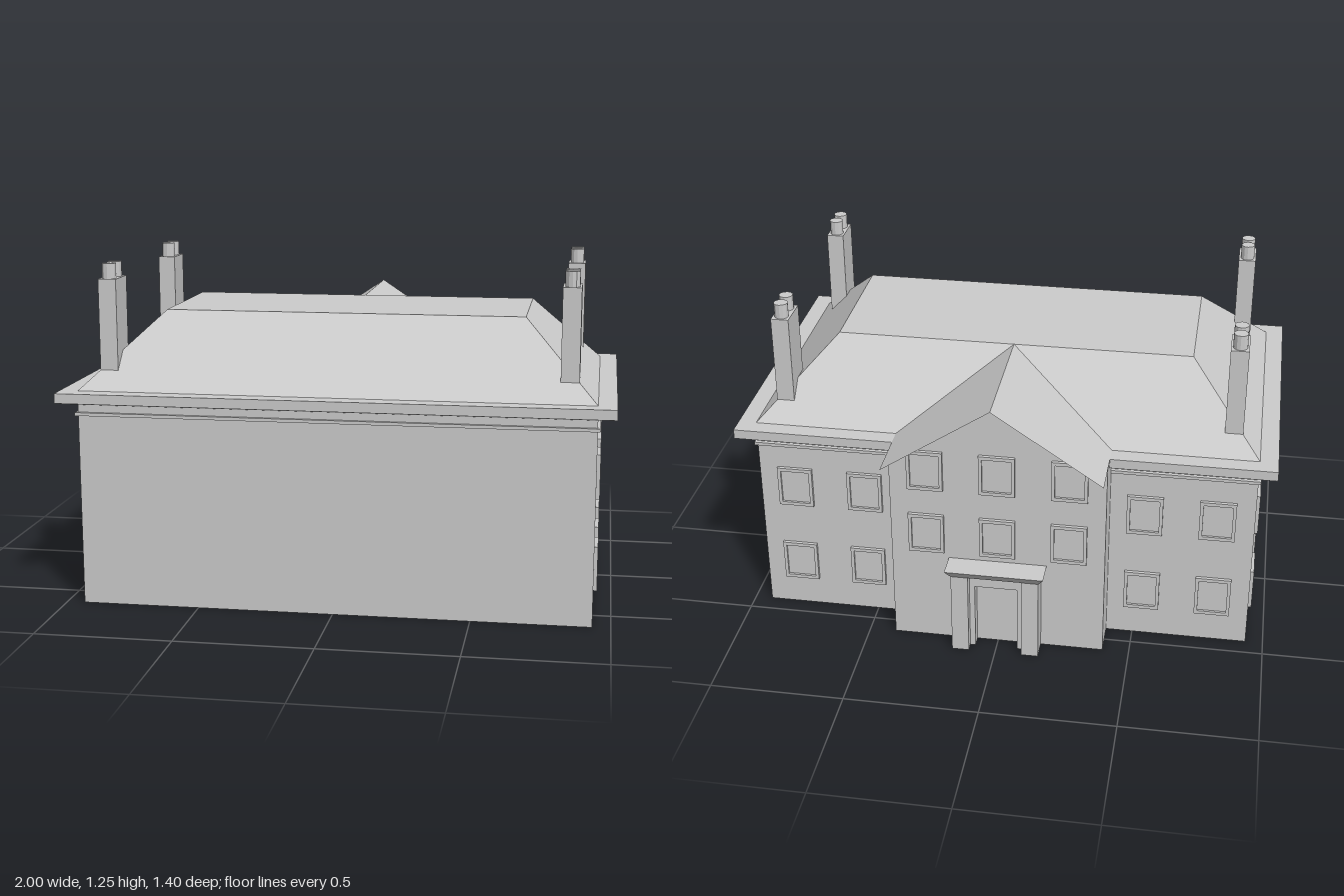
import * as THREE from 'three';

const material = new THREE.MeshStandardMaterial({ color: 0xcccccc, flatShading: true });
const thinMaterial = new THREE.MeshStandardMaterial({ color: 0xcccccc, flatShading: true, side: THREE.DoubleSide });

function add(parent, name, geometry, mat = material) {
  const mesh = new THREE.Mesh(geometry, mat);
  mesh.name = name;
  parent.add(mesh);
  return mesh;
}

// Solid between a lower and an upper rectangle, each [x0, x1, z0, z1]
function block(y0, y1, low, high = low) {
  const g = new THREE.BoxGeometry(1, 1, 1);
  const p = g.attributes.position;
  for (let i = 0; i < p.count; i++) {
    const up = p.getY(i) > 0;
    const r = up ? high : low;
    p.setXYZ(i, r[p.getX(i) > 0 ? 1 : 0], up ? y1 : y0, r[p.getZ(i) > 0 ? 3 : 2]);
  }
  g.computeVertexNormals();
  return g;
}

// The same block standing on the ground without its bottom face
function openBlock(height, rect) {
  const g = block(0, height, rect);
  const index = Array.from(g.index.array);
  index.splice(18, 6);
  g.setIndex(index);
  g.clearGroups();
  return g;
}

function rectangle(Type, w, h) {
  return new Type([[-w, -h], [w, -h], [w, h], [-w, h]].map(([x, y]) => new THREE.Vector2(x / 2, y / 2)));
}

// Window facing +z: raised frame around a set-back pane
const frameShape = rectangle(THREE.Shape, 0.133, 0.161);
frameShape.holes.push(rectangle(THREE.Path, 0.108, 0.134));
const frameGeometry = new THREE.ExtrudeGeometry(frameShape, { depth: 0.013, bevelEnabled: false });
const paneGeometry = new THREE.PlaneGeometry(0.108, 0.134).translate(0, 0, 0.004);

function addWindow(parent, x, y, z, turn) {
  const w = new THREE.Group();
  w.name = 'window';
  add(w, 'windowFrame', frameGeometry);
  add(w, 'windowPane', paneGeometry);
  w.position.set(x, y, z);
  w.rotation.y = turn;
  parent.add(w);
}

function addChimney(parent, x, z) {
  const c = new THREE.Group();
  c.name = 'chimney';
  add(c, 'chimneyStack', block(0.8, 1.2, [-0.033, 0.033, -0.066, 0.066]));
  for (const dz of [-0.034, 0.034]) {
    add(c, 'chimneyPot', new THREE.CylinderGeometry(0.026, 0.026, 0.055, 12)).position.set(0, 1.2275, dz);
  }
  c.position.set(x, 0, z);
  parent.add(c);
}

export function createModel() {
  const house = new THREE.Group();
  house.name = 'house';
  const eave = [-1, 1, -0.5, 0.7];

  // Main walls open below, string course, eaves and flat-topped hipped roof
  add(house, 'mainWalls', openBlock(0.76, [-0.934, 0.934, -0.432, 0.634]), thinMaterial);
  add(house, 'stringCourse', block(0.71, 0.722, [-0.943, 0.943, -0.446, 0.647]));
  add(house, 'soffit', block(0.75, 0.764, [-0.938, 0.938, -0.437, 0.638], eave));
  add(house, 'eaves', block(0.764, 0.8, eave));
  add(house, 'hippedRoof', block(0.8, 1.067, [-0.933, 0.933, -0.434, 0.633], [-0.666, 0.666, -0.168, 0.366]));

  // Gabled wing at the back, open below
  const gable = new THREE.Shape();
  gable.moveTo(-0.4, 0);
  gable.lineTo(0.4, 0);
  gable.lineTo(0.4, 0.798);
  gable.lineTo(0, 1.065);
  gable.lineTo(-0.4, 0.798);
  add(house, 'wingGableWall', new THREE.ShapeGeometry(gable), thinMaterial).position.z = -0.567;

  for (const s of [-1, 1]) {
    const side = add(house, 'wingSideWall', new THREE.PlaneGeometry(0.135, 0.798), thinMaterial);
    side.position.set(s * 0.4, 0.399, -0.4995);
    side.rotation.y = s * Math.PI / 2;

    // Thin wing roof, running into the slope of the main roof
    const g = new THREE.BufferGeometry();
    g.setAttribute('position', new THREE.Float32BufferAttribute(
      [0, 1.067, -0.7, s * 0.4, 0.8, -0.7, s * 0.4, 0.8, -0.434, 0, 1.067, -0.168], 3));
    g.setIndex(s < 0 ? [0, 1, 2, 0, 2, 3] : [0, 2, 1, 0, 3, 2]);
    g.computeVertexNormals();
    add(house, 'wingRoof', g, thinMaterial);
  }

  // Windows on the sides and at the back
  for (const y of [0.2, 0.535]) {
    for (const s of [-1, 1]) {
      for (const z of [0.515, 0.249, -0.041, -0.306]) addWindow(house, s * 0.934, y, z, s * Math.PI / 2);
      for (const x of [0.53, 0.798]) addWindow(house, s * x, y, -0.432, Math.PI);
    }
  }
  for (const y of [0.467, 0.735]) {
    for (const x of [-0.266, 0, 0.266]) addWindow(house, x, y, -0.567, Math.PI);
  }

  // Portico: open-bottomed piers and inner frame around the doorway, flared cornice
  const portico = new THREE.Group();
  portico.name = 'portico';
  for (const s of [-1, 1]) {
    add(portico, 'pier', openBlock(0.33, [s * 0.132 - 0.032, s * 0.132 + 0.032, -0.645, -0.567]), thinMaterial);
    add(portico, 'doorJamb', openBlock(0.27, [s * 0.09 - 0.01, s * 0.09 + 0.01, -0.61, -0.567]), thinMaterial);
  }
  add(portico, 'lintel', block(0.27, 0.33, [-0.1, 0.1, -0.61, -0.567]));
  add(portico, 'cornice', block(0.33, 0.361, [-0.164, 0.164, -0.645, -0.567], [-0.184, 0.184, -0.666, -0.567]));
  house.add(portico);

  // Chimneys near the four hips
  for (const x of [-0.833, 0.833]) {
    for (const z of [0.5, -0.3]) addChimney(house, x, z);
  }
  return house;
}
